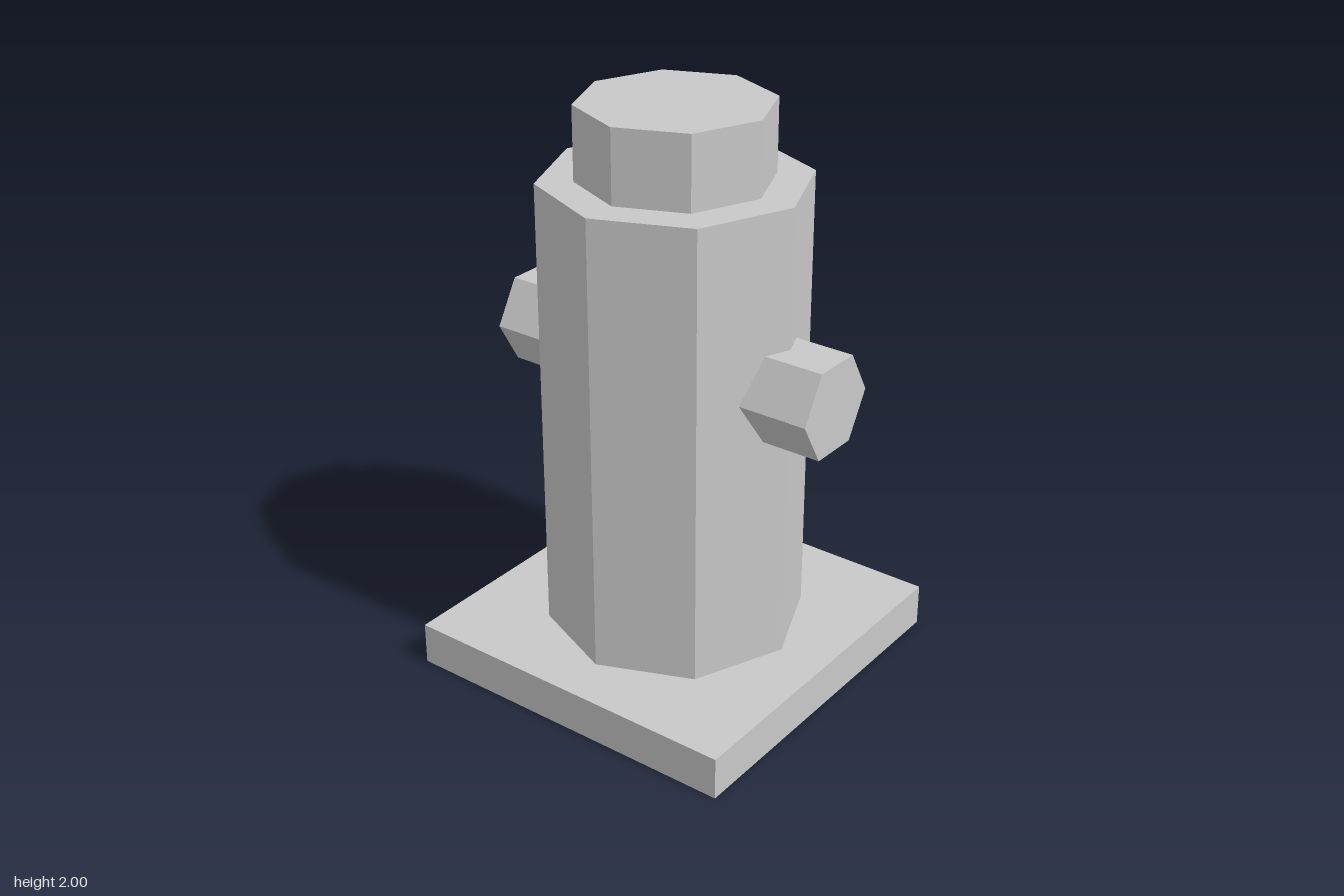
import * as THREE from 'three';

const grey = new THREE.MeshStandardMaterial({ color: 0xc8c8c8, flatShading: true });
grey.name = 'light grey';

function addPart(group, name, geometry, x, y) {
  const mesh = new THREE.Mesh(geometry, grey);
  mesh.name = name;
  mesh.position.set(x, y, 0);
  group.add(mesh);
  return mesh;
}

export function createModel() {
  const group = new THREE.Group();
  group.name = 'hydrant';

  // Square foot plate
  addPart(group, 'base', new THREE.BoxGeometry(1.245, 0.15, 1.245), 0, 0.075);

  // Octagonal barrel and cap, corners on the x and z axes
  addPart(group, 'barrel', new THREE.CylinderGeometry(0.448, 0.448, 1.6, 8), 0, 0.95);
  addPart(group, 'cap', new THREE.CylinderGeometry(0.324, 0.324, 0.25, 8), 0, 1.875);

  // Hexagonal side outlets, running into the barrel
  for (const [name, side] of [['leftOutlet', 1], ['rightOutlet', -1]]) {
    const outlet = addPart(group, name, new THREE.CylinderGeometry(0.174, 0.174, 0.3225, 6), side * 0.46125, 1.125);
    outlet.rotation.z = -side * Math.PI / 2;
  }

  return group;
}
